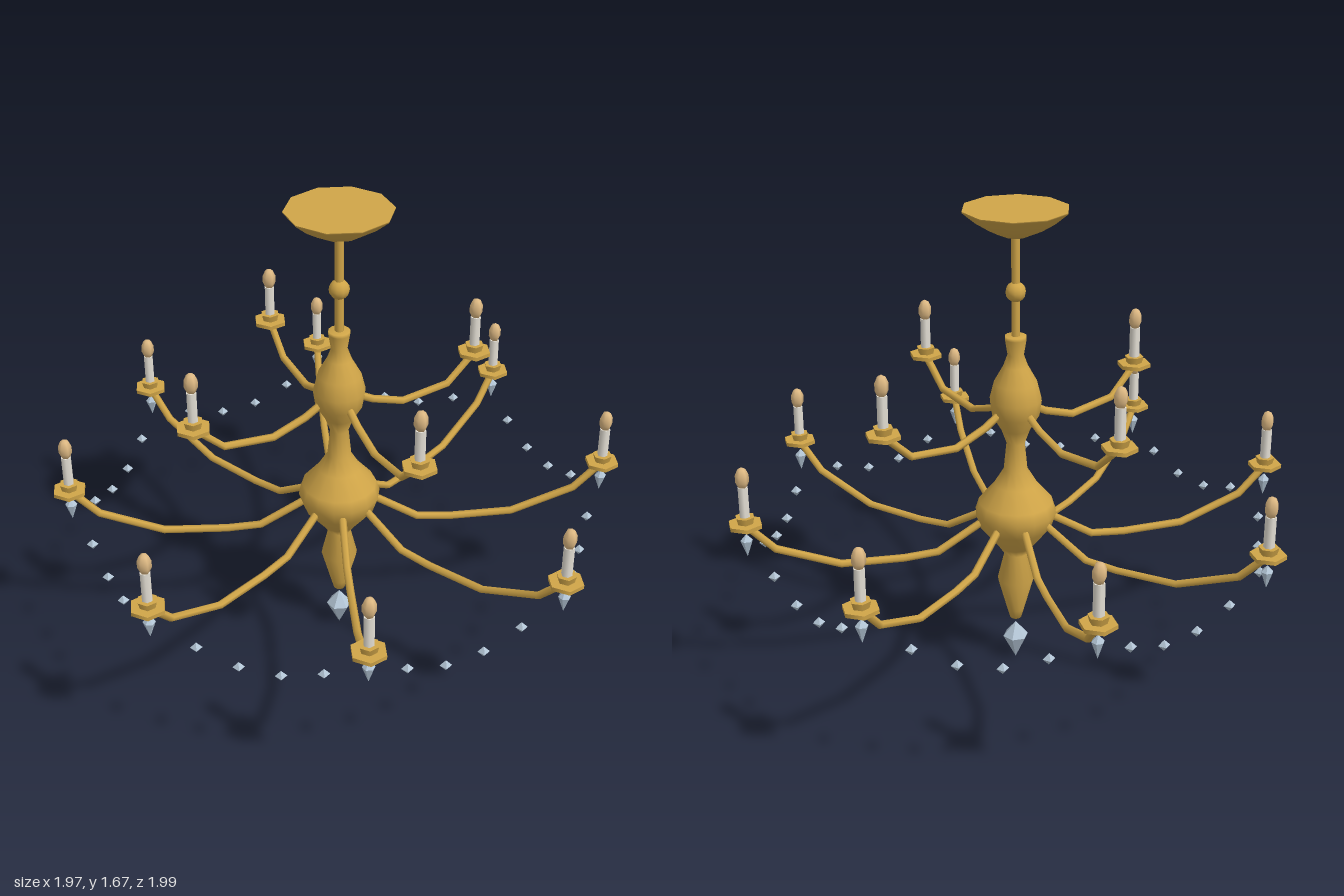
import * as THREE from 'three';

const mat = (name, color, flatShading = false) => {
  const m = new THREE.MeshStandardMaterial({ color });
  m.name = name;
  m.flatShading = flatShading;
  return m;
};

// Straight-segment path with evenly spaced samples, one per corner
class Polyline extends THREE.Curve {
  constructor(points) { super(); this.points = points; }
  getUtoTmapping(u) { return u; }
  getPoint(t, target = new THREE.Vector3()) {
    const n = this.points.length - 1;
    const i = Math.min(Math.floor(t * n), n - 1);
    return target.lerpVectors(this.points[i], this.points[i + 1], t * n - i);
  }
}

export function createModel() {
  const root = new THREE.Group();
  root.name = 'chandelier';
  const brass = mat('brass', 0xd0a548);
  const brassFlat = brass; // one material per colour
  const wax = mat('candle white', 0xf0ebe0);
  const bulb = mat('warm bulb', 0xdfba84);
  const crystal = mat('crystal', 0xb4c6d6, true);

  const add = (parent, name, geometry, material, x = 0, y = 0, z = 0) => {
    const mesh = new THREE.Mesh(geometry, material);
    mesh.name = name;
    mesh.position.set(x, y, z);
    parent.add(mesh);
    return mesh;
  };
  const lathe = (profile, segments) => new THREE.LatheGeometry(
    profile.map(([r, y]) => new THREE.Vector2(r, y)), segments).rotateY(Math.PI / 2);

  // Turned central column, from bottom to top
  add(root, 'column', lathe([
    [0, 0.16], [0.02, 0.165], [0.03, 0.2], [0.064, 0.325], [0.04, 0.425], [0.06, 0.455],
    [0.125, 0.535], [0.143, 0.59], [0.13, 0.63], [0.075, 0.695], [0.042, 0.75], [0.032, 0.85],
    [0.05, 0.9], [0.082, 0.955], [0.09, 1.01], [0.075, 1.07], [0.042, 1.13], [0.028, 1.17],
    [0.037, 1.225], [0.037, 1.237], [0, 1.237],
  ], 14), brass);

  // Suspension rod, ball and ceiling canopy
  add(root, 'rod', new THREE.CylinderGeometry(0.015, 0.015, 0.38, 8), brass, 0, 1.41, 0);
  add(root, 'rodBall', new THREE.SphereGeometry(0.035, 10, 8), brass, 0, 1.39, 0);
  add(root, 'canopy', lathe([
    [0, 1.575], [0.04, 1.58], [0.09, 1.602], [0.135, 1.63], [0.18, 1.668], [0.18, 1.672],
  ], 10), brass);
  add(root, 'canopyTop', new THREE.CircleGeometry(0.18, 10).rotateX(-Math.PI / 2),
    brass, 0, 1.672, 0);

  // Shared candle and crystal shapes
  const discGeo = new THREE.CylinderGeometry(0.06, 0.06, 0.014, 6);
  const cupGeo = new THREE.CylinderGeometry(0.034, 0.028, 0.024, 6);
  const candleGeo = new THREE.CylinderGeometry(0.0185, 0.0185, 0.125, 6);
  const bulbGeo = new THREE.SphereGeometry(1, 6, 5).scale(0.024, 0.04, 0.024);
  const dropGeo = lathe([[0, -0.075], [0.021, -0.015], [0, 0.008]], 6);
  const beadGeo = new THREE.OctahedronGeometry(0.02);

  // Curved arms ending in candles; profile points are [radius, height]
  const tier = (name, count, startAngle, profile, hasDrops) => {
    const [reach, top] = profile[profile.length - 1];
    for (let i = 0; i < count; i++) {
      const a = startAngle + i * 2 * Math.PI / count;
      const c = Math.cos(a), s = Math.sin(a);
      const arm = new THREE.Group();
      arm.name = name;
      root.add(arm);
      const path = new Polyline(profile.map(([r, y]) => new THREE.Vector3(r * c, y, r * s)));
      add(arm, 'armTube', new THREE.TubeGeometry(path, profile.length - 1, 0.0135, 6), brass);

      const light = new THREE.Group();
      light.name = 'candleLight';
      light.position.set(reach * c, top, reach * s);
      arm.add(light);
      add(light, 'dripTray', discGeo, brassFlat, 0, 0.003, 0);
      add(light, 'candleCup', cupGeo, brassFlat, 0, 0.022, 0);
      add(light, 'candle', candleGeo, wax, 0, 0.08, 0);
      add(light, 'bulb', bulbGeo, bulb, 0, 0.173, 0);
      if (hasDrops) add(light, 'crystalDrop', dropGeo, crystal, 0, -0.04, 0);
    }
  };
  tier('lowerArm', 8, 0,
    [[0.09, 0.58], [0.28, 0.465], [0.4, 0.457], [0.62, 0.465], [0.84, 0.552], [0.935, 0.652]], true);
  tier('upperArm', 4, -Math.PI / 8,
    [[0.06, 0.975], [0.13, 0.935], [0.25, 0.893], [0.43, 0.912], [0.535, 1.01]], false);

  // Swags of crystal beads hanging between the lower candles
  const swagRadius = 0.917;
  for (let i = 0; i < 8; i++) {
    const a = i * Math.PI / 4, b = a + Math.PI / 4;
    for (let k = 1; k <= 4; k++) {
      const t = k / 5;
      const mix = (f) => swagRadius * (f(a) * (1 - t) + f(b) * t);
      add(root, 'swagBead', beadGeo, crystal,
        mix(Math.cos), 0.605 - 0.56 * t * (1 - t), mix(Math.sin));
    }
  }

  // Large crystal pendant at the bottom
  add(root, 'pendant', lathe([[0, 0], [0.046, 0.09], [0, 0.145]], 6), crystal);

  return root;
}
